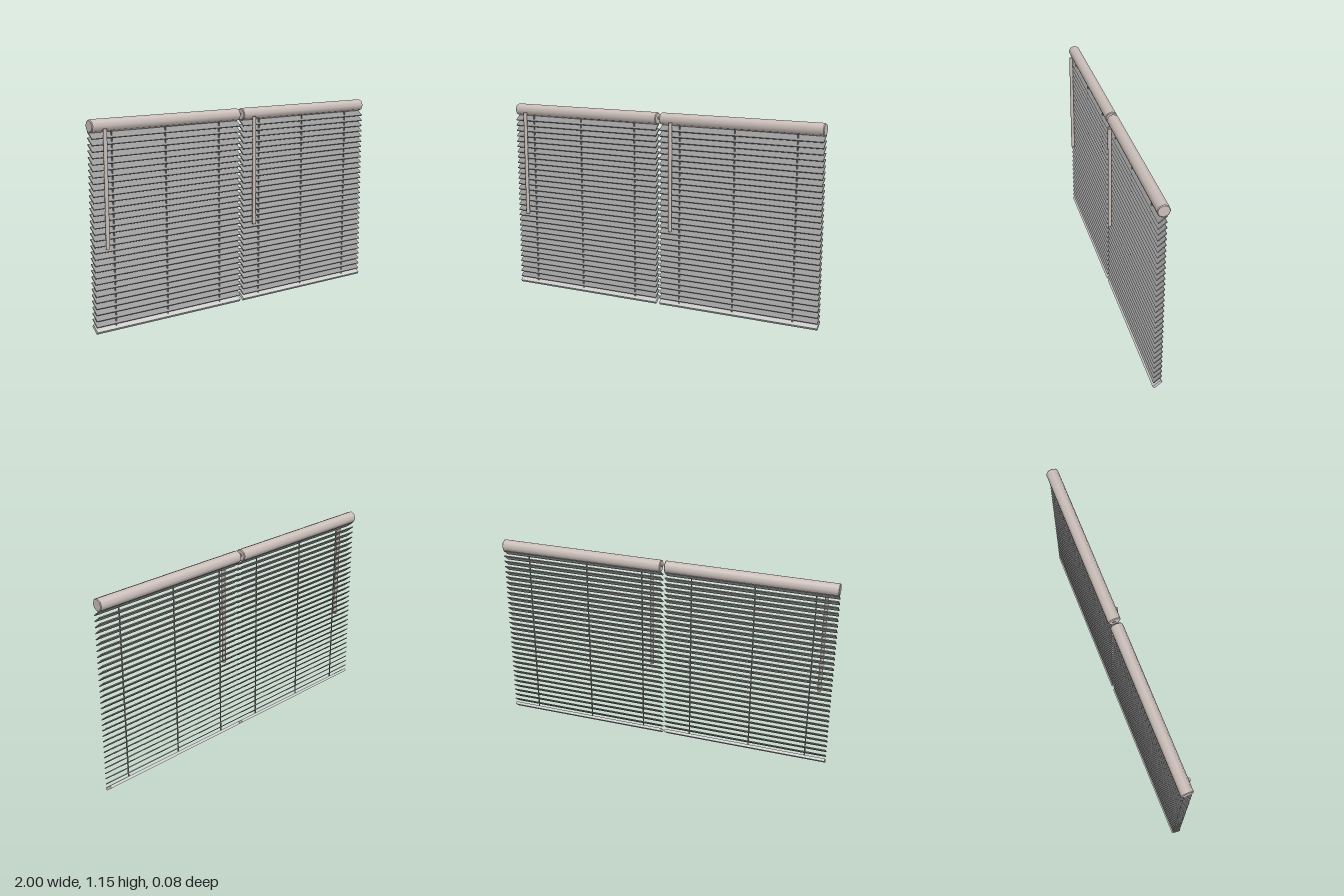
import * as THREE from 'three';

const grey = new THREE.MeshStandardMaterial({ color: 0xcccccc });
const slatGrey = new THREE.MeshStandardMaterial({ color: 0x999999 });
const warm = new THREE.MeshStandardMaterial({ color: 0xccc0ba });

const WIDTH = 0.988;        // one blind
const TILT = 0.685;         // slats rise towards the back
const SLATS = 31;
const FIRST = 0.058, LAST = 1.07;
const RADIUS = 0.036, BEVEL = 0.004;

function add(group, name, geometry, material, x, y, z) {
  const mesh = new THREE.Mesh(geometry, material);
  mesh.name = name;
  mesh.position.set(x, y, z);
  group.add(mesh);
  return mesh;
}

function makeBlind() {
  const blind = new THREE.Group();

  // eight-sided head rail with bevelled ends
  const rail = new THREE.CylinderGeometry(RADIUS, RADIUS, WIDTH - 2 * BEVEL, 8, 1, true).rotateZ(Math.PI / 2);
  add(blind, 'headRail', rail, warm, 0, 1.117, -0.004);
  for (const side of [-1, 1]) {
    const cap = new THREE.CylinderGeometry(RADIUS - BEVEL, RADIUS, BEVEL, 8).rotateZ(-side * Math.PI / 2);
    add(blind, 'railEnd', cap, warm, side * (WIDTH - BEVEL) / 2, 1.117, -0.004);
  }

  // tilted slats
  const slat = new THREE.BoxGeometry(WIDTH, 0.006, 0.059).rotateX(TILT);
  const slats = new THREE.Group();
  slats.name = 'slats';
  for (let i = 0; i < SLATS; i++) {
    const y = FIRST + (LAST - FIRST) * i / (SLATS - 1);
    add(slats, 'slat', slat, slatGrey, 0, y, 0.001);
  }
  blind.add(slats);

  // heavier bottom rail at the same tilt
  const bottom = new THREE.BoxGeometry(WIDTH, 0.017, 0.056).rotateX(TILT);
  add(blind, 'bottomRail', bottom, grey, 0, 0.0245, 0.001);

  // ladder cords
  const cord = new THREE.CylinderGeometry(0.004, 0.004, 1.07, 6);
  for (const x of [-0.368, -0.025, 0.345]) add(blind, 'cord', cord, slatGrey, x, 0.56, 0.012);

  // tilt wand hanging in front
  const wand = new THREE.CylinderGeometry(0.011, 0.011, 0.64, 8);
  add(blind, 'wand', wand, warm, -0.42, 0.783, 0.033);
  return blind;
}

export function createModel() {
  const model = new THREE.Group();
  model.name = 'windowBlinds';
  for (const [name, side] of [['rightBlind', -1], ['leftBlind', 1]]) {
    const blind = makeBlind();
    blind.name = name;
    blind.position.x = side * 0.506;
    model.add(blind);
  }
  // short pins on the facing rail ends
  for (const side of [-1, 1]) {
    const pin = new THREE.CylinderGeometry(0.009, 0.009, 0.008, 8).rotateZ(Math.PI / 2);
    add(model, 'railPin', pin, warm, side * 0.012, 1.12, -0.008);
  }
  return model;
}
